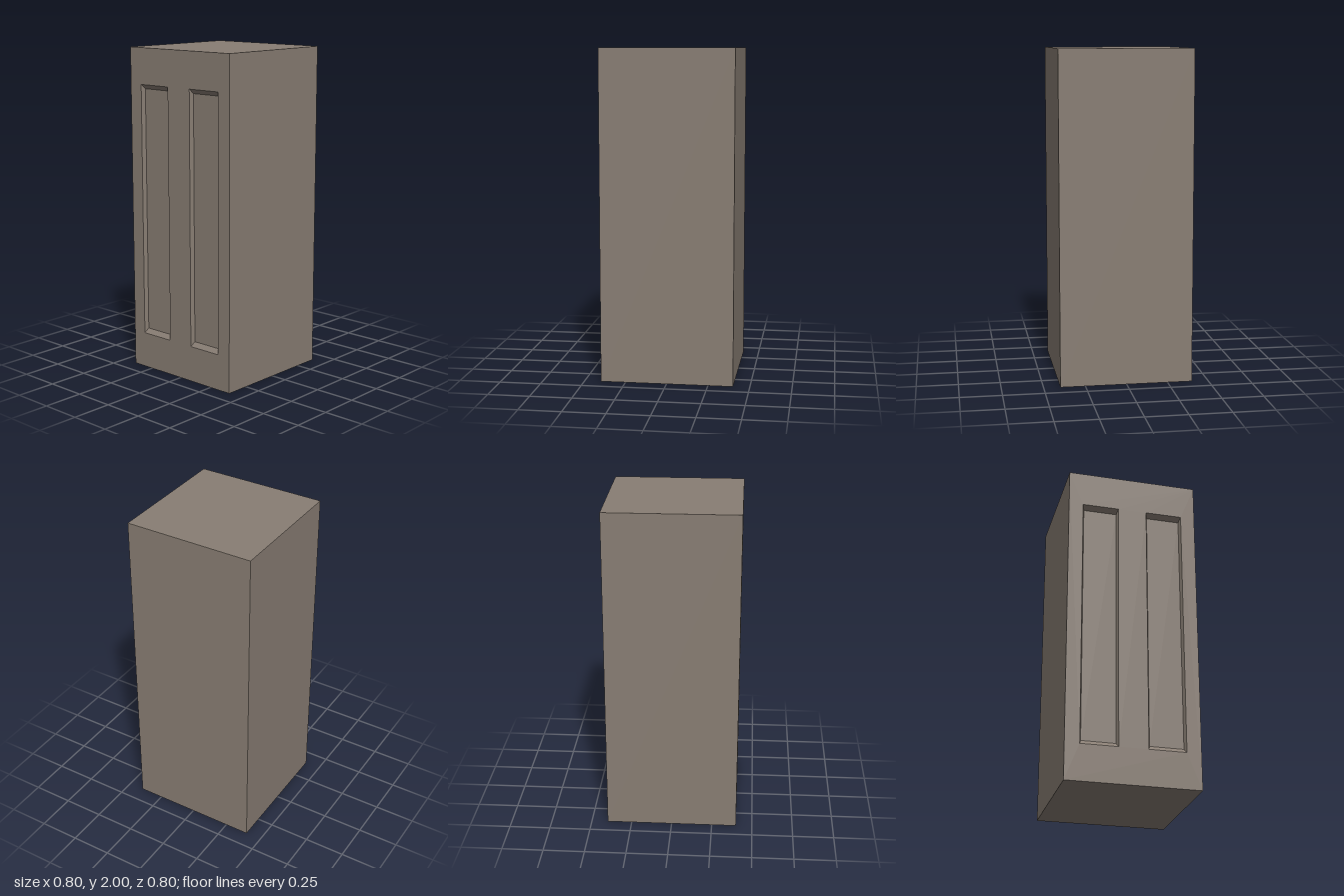
import * as THREE from 'three';

const WIDTH = 0.8, HEIGHT = 2, FRONT = 0.4;
const PANEL = { x: 0.2, y: 1, w: 0.224, h: 1.56 };   // opening of each recess
const BEVEL_X = 0.01, BEVEL_Y = 0.027, DEPTH = 0.025;

// Corners of a centred rectangle, counter-clockwise seen from the front
function corners(cx, cy, w, h) {
  return [[-1, -1], [1, -1], [1, 1], [-1, 1]].map(([sx, sy]) =>
    new THREE.Vector2(cx + sx * w / 2, cy + sy * h / 2));
}

// Sunken panel: four sloping walls and a flat floor
function recessGeometry(cx) {
  const outer = corners(cx, PANEL.y, PANEL.w, PANEL.h)
    .map(p => [p.x, p.y, FRONT]);
  const inner = corners(cx, PANEL.y, PANEL.w - 2 * BEVEL_X, PANEL.h - 2 * BEVEL_Y)
    .map(p => [p.x, p.y, FRONT - DEPTH]);
  const positions = [];
  const quad = (a, b, c, d) => positions.push(...a, ...b, ...c, ...a, ...c, ...d);
  for (let i = 0; i < 4; i++) {
    const j = (i + 1) % 4;
    quad(outer[i], outer[j], inner[j], inner[i]);
  }
  quad(...inner);
  const geometry = new THREE.BufferGeometry();
  geometry.setAttribute('position', new THREE.Float32BufferAttribute(positions, 3));
  geometry.computeVertexNormals();
  return geometry;
}

export function createModel() {
  const group = new THREE.Group();
  group.name = 'panelledPillar';
  const material = new THREE.MeshStandardMaterial({ color: 0x887d73, flatShading: true });
  const add = (name, geometry) => {
    const mesh = new THREE.Mesh(geometry, material);
    mesh.name = name;
    group.add(mesh);
  };

  // Block with its front side left open (the front is indices 24 to 29)
  const block = new THREE.BoxGeometry(WIDTH, HEIGHT, 2 * FRONT).translate(0, HEIGHT / 2, 0);
  const index = Array.from(block.index.array);
  index.splice(24, 6);
  block.setIndex(index);
  block.clearGroups();
  add('body', block);

  // Front face with two openings, and the recess behind each one
  const face = new THREE.Shape(corners(0, HEIGHT / 2, WIDTH, HEIGHT));
  for (const [name, side] of [['leftRecess', 1], ['rightRecess', -1]]) {
    const cx = side * PANEL.x;
    face.holes.push(new THREE.Path(corners(cx, PANEL.y, PANEL.w, PANEL.h)));
    add(name, recessGeometry(cx));
  }
  add('frontFace', new THREE.ShapeGeometry(face).translate(0, 0, FRONT));

  return group;
}
